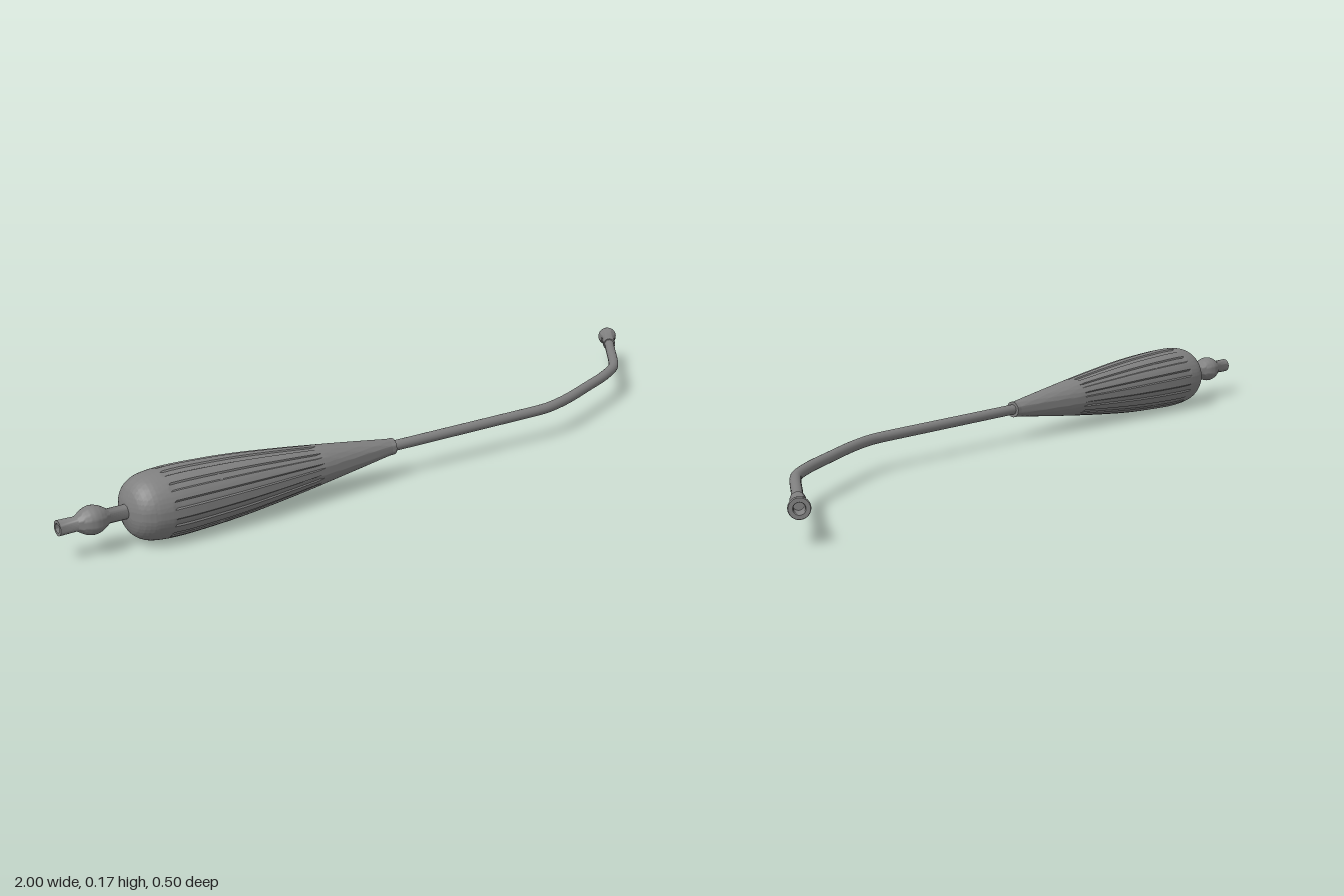
import * as THREE from 'three';
import { mergeVertices, toCreasedNormals } from 'three/addons/utils/BufferGeometryUtils.js';

const AXIS_Y = 0.0845, AXIS_Z = 0.167; // centre line of handle and straight pipe
const v2 = (p) => new THREE.Vector2(p[0], p[1]);

// Lathe from [radius, position] pairs; weld the seam after an optional radial carve rule
function turned(points, segments, crease, carve) {
  const geo = new THREE.LatheGeometry(points.map(v2), segments);
  if (carve) {
    const pos = geo.attributes.position;
    for (let i = 0; i < pos.count; i++) {
      const x = pos.getX(i), y = pos.getY(i), z = pos.getZ(i);
      const r = Math.hypot(x, z);
      if (r < 1e-6) continue;
      const k = (r - carve(Math.atan2(x, z), y, r)) / r;
      pos.setXYZ(i, x * k, y, z * k);
    }
  }
  geo.deleteAttribute('uv');
  geo.deleteAttribute('normal');
  return toCreasedNormals(mergeVertices(geo, 1e-5), crease);
}

// Dense smooth profile through a few points
const smooth = (pts, n) => new THREE.SplineCurve(pts.map(v2)).getPoints(n).map((p) => [p.x, p.y]);

export function createModel() {
  const model = new THREE.Group();
  const grey = new THREE.MeshStandardMaterial({ color: 0x808080 });
  grey.name = 'grey plastic';

  const add = (name, geo, parent) => {
    const mesh = new THREE.Mesh(geo, grey);
    mesh.name = name;
    parent.add(mesh);
    return mesh;
  };

  // Parts turned about the straight axis (local y becomes world x)
  const straight = new THREE.Group();
  straight.name = 'handleAssembly';
  straight.rotation.z = -Math.PI / 2;
  straight.position.set(0, AXIS_Y, AXIS_Z);
  model.add(straight);

  // Handle: tapered grip with twelve shallow flutes
  const grip = smooth([
    [0.035, -0.83], [0.055, -0.82], [0.07, -0.803], [0.08, -0.775], [0.0845, -0.72],
    [0.083, -0.65], [0.0765, -0.54], [0.063, -0.41], [0.044, -0.26], [0.02, -0.088],
  ], 80);
  const flutes = 12, perFlute = 12;
  const fluteCut = (a, y) => {
    if (y < -0.74 || y > -0.33) return 0;
    const t = ((a / (2 * Math.PI)) * flutes + flutes) % 1;
    return Math.abs(t - 0.5) < 0.22 ? 0.003 : 0;
  };
  add('handle', turned([[0, -0.83], ...grip, [0.0195, -0.085], [0.012, -0.085]],
    flutes * perFlute, 0.5, fluteCut), straight);

  // Collar where the pipe enters the handle
  add('pipeCollar', turned([[0.012, -0.105], [0.0212, -0.105], [0.0212, -0.083], [0.012, -0.083]],
    32, 0.6), straight);

  // Hose connector: hollow stem with a round bulb
  const bulb = smooth([
    [0.0175, -0.955], [0.022, -0.948], [0.031, -0.932], [0.0345, -0.915],
    [0.031, -0.898], [0.022, -0.882], [0.0175, -0.875],
  ], 20);
  add('hoseConnector', turned([
    [0, -0.95], [0.0115, -0.95], [0.0115, -1], [0.0185, -1], ...bulb, [0.0175, -0.82],
  ], 32, 0.7), straight);

  // Pipe: straight run followed by the bent neck
  const path = new THREE.CurvePath();
  const at = (x, z) => new THREE.Vector3(x, AXIS_Y, z);
  path.add(new THREE.LineCurve3(at(-0.1, AXIS_Z), at(0.38, AXIS_Z)));
  path.add(new THREE.CatmullRomCurve3([
    at(0.38, AXIS_Z), at(0.42, 0.164), at(0.5, 0.142), at(0.62, 0.092), at(0.725, 0.045),
    at(0.794, 0.002), at(0.83, -0.038), at(0.885, -0.11), at(0.94, -0.182),
  ]));
  add('pipe', new THREE.TubeGeometry(path, 120, 0.0135, 24, false), model);

  // Suction tip: flared, open mouth and a vent hole on each side
  const length = 0.085;
  const flare = smooth([[0.0165, 0], [0.0178, 0.004], [0.0175, 0.022], [0.0185, 0.045],
    [0.0215, 0.064], [0.0252, 0.076], [0.0255, 0.082], [0.024, length]], 60);
  const vent = (a, y, r) => {
    const off = Math.abs(Math.abs(a) - Math.PI / 2); // vents at local +x and -x
    return r > 0.0155 && Math.hypot(off * r, y - 0.044) < 0.006 ? 0.007 : 0;
  };
  const tip = add('suctionTip', turned([
    [0.0125, 0], ...flare, [0.0145, length], [0.0125, length - 0.006], [0.0125, length - 0.035], [0, length - 0.035],
  ], 96, 0.6, vent), model);
  const dir = new THREE.Vector3(0.6, 0, -0.8);
  const side = new THREE.Vector3(0.8, 0, 0.6);
  const up = new THREE.Vector3().crossVectors(side, dir);
  tip.quaternion.setFromRotationMatrix(new THREE.Matrix4().makeBasis(side, dir, up));
  tip.position.copy(at(0.979, -0.234)).addScaledVector(dir, -length);

  return model;
}
